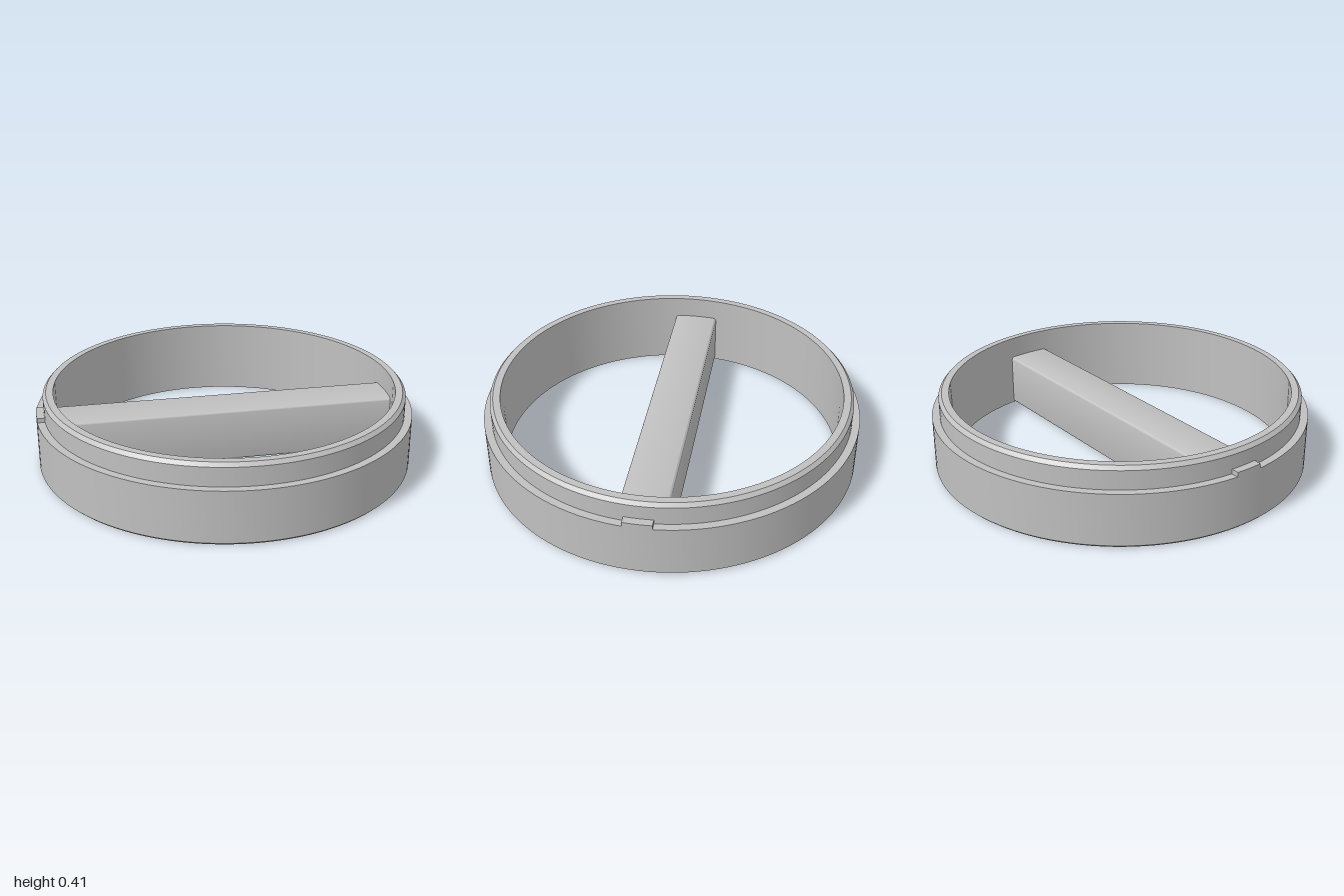
import * as THREE from 'three';
import { toCreasedNormals } from 'three/addons/utils/BufferGeometryUtils.js';

const STEP_Y = 0.286; // height of the outer shoulder

export function createModel() {
  const model = new THREE.Group();
  model.name = 'ringWithCrossbar';
  const grey = new THREE.MeshStandardMaterial({ color: 0xc0c0c0 });
  grey.name = 'grey';

  const add = (name, geometry) => {
    const mesh = new THREE.Mesh(toCreasedNormals(geometry, 0.5), grey);
    mesh.name = name;
    model.add(mesh);
    return mesh;
  };

  // Stepped ring, chamfered at the foot and at the top lip
  const profile = [
    [0.905, 0], [0.988, 0], [1, 0.012], [1, STEP_Y], [0.96, STEP_Y],
    [0.96, 0.386], [0.943, 0.405], [0.905, 0.405], [0.905, 0],
  ].map(([r, y]) => new THREE.Vector2(r, y));
  add('ring', new THREE.LatheGeometry(profile, 128));

  // Crossbar with rounded long edges, its ends sunk into the ring wall
  const w = 0.121, bottom = 0.001, top = 0.288, r = 0.018, length = 1.83;
  const section = new THREE.Shape();
  section.absarc(w - r, bottom + r, r, -Math.PI / 2, 0);
  section.absarc(w - r, top - r, r, 0, Math.PI / 2);
  section.absarc(-w + r, top - r, r, Math.PI / 2, Math.PI);
  section.absarc(-w + r, bottom + r, r, Math.PI, Math.PI * 1.5);
  const bar = new THREE.ExtrudeGeometry(section, { depth: length, bevelEnabled: false, curveSegments: 6 });
  bar.translate(0, 0, -length / 2).rotateY(Math.PI / 2);
  add('crossbar', bar);

  // Small locating tabs on the shoulder, one on each side
  const half = 0.073, inner = 0.957;
  const a = Math.asin(half), b = Math.asin(half / inner);
  const tabShape = new THREE.Shape();
  tabShape.absarc(0, 0, 1, -a, a, false);
  tabShape.absarc(0, 0, inner, b, -b, true);
  for (const [name, turn] of [['leftTab', 0], ['rightTab', Math.PI]]) {
    const tab = new THREE.ExtrudeGeometry(tabShape, { depth: 0.024, bevelEnabled: false, curveSegments: 6 });
    tab.rotateX(-Math.PI / 2).translate(0, STEP_Y, 0).rotateY(turn);
    add(name, tab);
  }
  return model;
}
